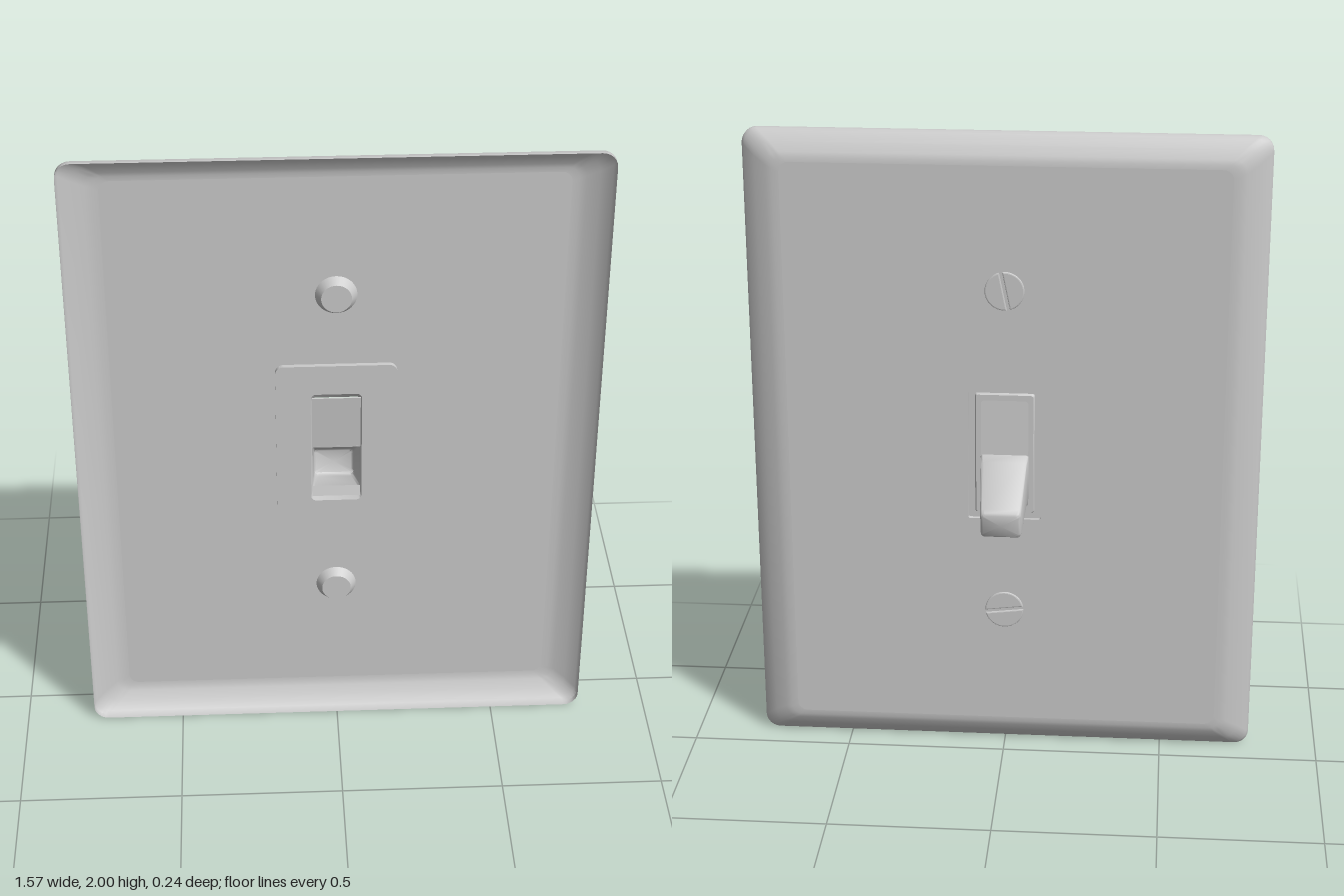
import * as THREE from 'three';
import { toCreasedNormals } from 'three/addons/utils/BufferGeometryUtils.js';

const material = new THREE.MeshStandardMaterial({ color: 0xcccccc, side: THREE.DoubleSide });

// Outline of a rounded rectangle, always the same number of points
function outline(hw, hh, r, cy = 0) {
  const pts = [];
  for (let c = 0; c < 4; c++) {
    const sx = c === 0 || c === 3 ? 1 : -1, sy = c < 2 ? 1 : -1;
    for (let i = 0; i <= 6; i++) {
      const a = (c + i / 6) * Math.PI / 2;
      pts.push(new THREE.Vector2(sx * (hw - r) + r * Math.cos(a), cy + sy * (hh - r) + r * Math.sin(a)));
    }
  }
  return pts;
}

// Skin through rings [halfWidth, halfHeight, radius, centreY, z, lean]; lean shifts z with height
function loft(rings, cap = false, crease = 0.6) {
  const pos = [], idx = [], n = 28;
  for (const [hw, hh, r, cy, z, lean = 0] of rings) {
    for (const p of outline(hw, hh, r, cy)) pos.push(p.x, p.y, z + lean * (p.y - cy));
  }
  for (let k = 0; k < rings.length - 1; k++) {
    for (let i = 0; i < n; i++) {
      const a = k * n + i, b = k * n + (i + 1) % n;
      idx.push(a, a + n, b, b, a + n, b + n);
    }
  }
  if (cap) {
    const last = rings.length - 1, c = pos.length / 3;
    pos.push(0, rings[last][3], rings[last][4]);
    for (let i = 0; i < n; i++) idx.push(last * n + i, c, last * n + (i + 1) % n);
  }
  const geo = new THREE.BufferGeometry();
  geo.setAttribute('position', new THREE.Float32BufferAttribute(pos, 3));
  geo.setIndex(idx);
  return toCreasedNormals(geo, crease);
}

function add(parent, name, geo) {
  const mesh = new THREE.Mesh(geo, material);
  mesh.name = name;
  parent.add(mesh);
  return mesh;
}

// Slotted screw head: a backing disc and two raised halves, facing -z
function screw(name, y, turn) {
  const g = new THREE.Group();
  g.name = name;
  const disc = add(g, 'screwDisc', new THREE.CylinderGeometry(0.062, 0.045, 0.026, 32));
  disc.rotation.x = -Math.PI / 2;
  disc.position.z = 0.067;
  const gap = Math.asin(0.15);
  const half = new THREE.Shape();
  half.absarc(0, 0, 0.056, gap, Math.PI - gap, false);
  half.closePath();
  const geo = new THREE.ExtrudeGeometry(half, {
    depth: 0.005, bevelThickness: 0.003, bevelSize: 0.004, bevelSegments: 2, curveSegments: 24,
  });
  for (const s of [0, 1]) {
    const m = add(g, 'screwHalf', geo);
    m.rotation.z = s * Math.PI;
    m.position.z = 0.049;
  }
  g.position.y = y;
  g.rotation.z = turn;
  return g;
}

export function createModel() {
  const model = new THREE.Group();
  model.name = 'toggleSwitch';

  // Cover plate: hollow shell with sloped border, open towards +z
  const plate = new THREE.Group();
  plate.name = 'coverPlate';
  model.add(plate);
  add(plate, 'plateBorder', loft([
    [0.785, 1, 0.045, 1, 0.12],
    [0.785, 1, 0.045, 1, 0.102],
    [0.778, 0.994, 0.045, 1, 0.093],
    [0.745, 0.967, 0.045, 1, 0.074],
    [0.71, 0.939, 0.04, 1, 0.058],
    [0.69, 0.925, 0.035, 1, 0.053],
    [0.67, 0.91, 0.03, 1, 0.052],
  ], false, 0.8));
  const face = new THREE.Shape(outline(0.67, 0.91, 0.03, 1));
  face.holes.push(new THREE.Path(outline(0.112, 0.215, 0.006, 1)));
  add(plate, 'plateFace', new THREE.ShapeGeometry(face)).position.z = 0.052;
  add(plate, 'openingLip', loft([
    [0.112, 0.215, 0.006, 1, 0.052],
    [0.112, 0.215, 0.006, 1, 0.066],
  ]));

  // Switch frame seated in the plate, with a raised collar round its slot
  add(model, 'switchFrame', loft([
    [0.182, 0.28, 0.025, 1.01, 0.053],
    [0.182, 0.28, 0.025, 1.01, 0.067],
    [0.077, 0.193, 0.016, 0.998, 0.067],
    [0.073, 0.175, 0.012, 1, 0.057],
    [0.088, 0.193, 0.008, 1, 0.057],
    [0.092, 0.197, 0.008, 1, 0.066],
    [0.181, 0.279, 0.025, 1.01, 0.066],
  ], false, 0.4));

  // Toggle: hollow tapered lever pointing down and out
  add(model, 'toggleLever', loft([
    [0.074, 0.077, 0.008, 0.924, 0.06],
    [0.071, 0.073, 0.010, 0.912, 0.03, -0.06],
    [0.063, 0.046, 0.012, 0.836, -0.092, -0.2],
    [0.061, 0.042, 0.012, 0.831, -0.104, -0.2],
    [0.055, 0.036, 0.012, 0.829, -0.109, -0.2],
  ], true, 0.7));

  // Shield panels above and below the lever, sloping back into the slot
  for (const [name, y0, z0, y1, z1] of [
    ['upperShield', 0.995, 0.056, 1.18, 0.07],
    ['lowerShield', 0.852, 0.058, 0.822, 0.066],
  ]) {
    const panel = add(model, name, new THREE.BoxGeometry(0.146, Math.hypot(y1 - y0, z1 - z0), 0.004));
    panel.position.set(0, (y0 + y1) / 2, (z0 + z1) / 2);
    panel.rotation.x = Math.atan2(z1 - z0, y1 - y0);
  }

  // Fixing screws
  model.add(screw('upperScrew', 1.527, Math.PI / 2 - 0.2));
  model.add(screw('lowerScrew', 0.475, -0.12));
  return model;
}
